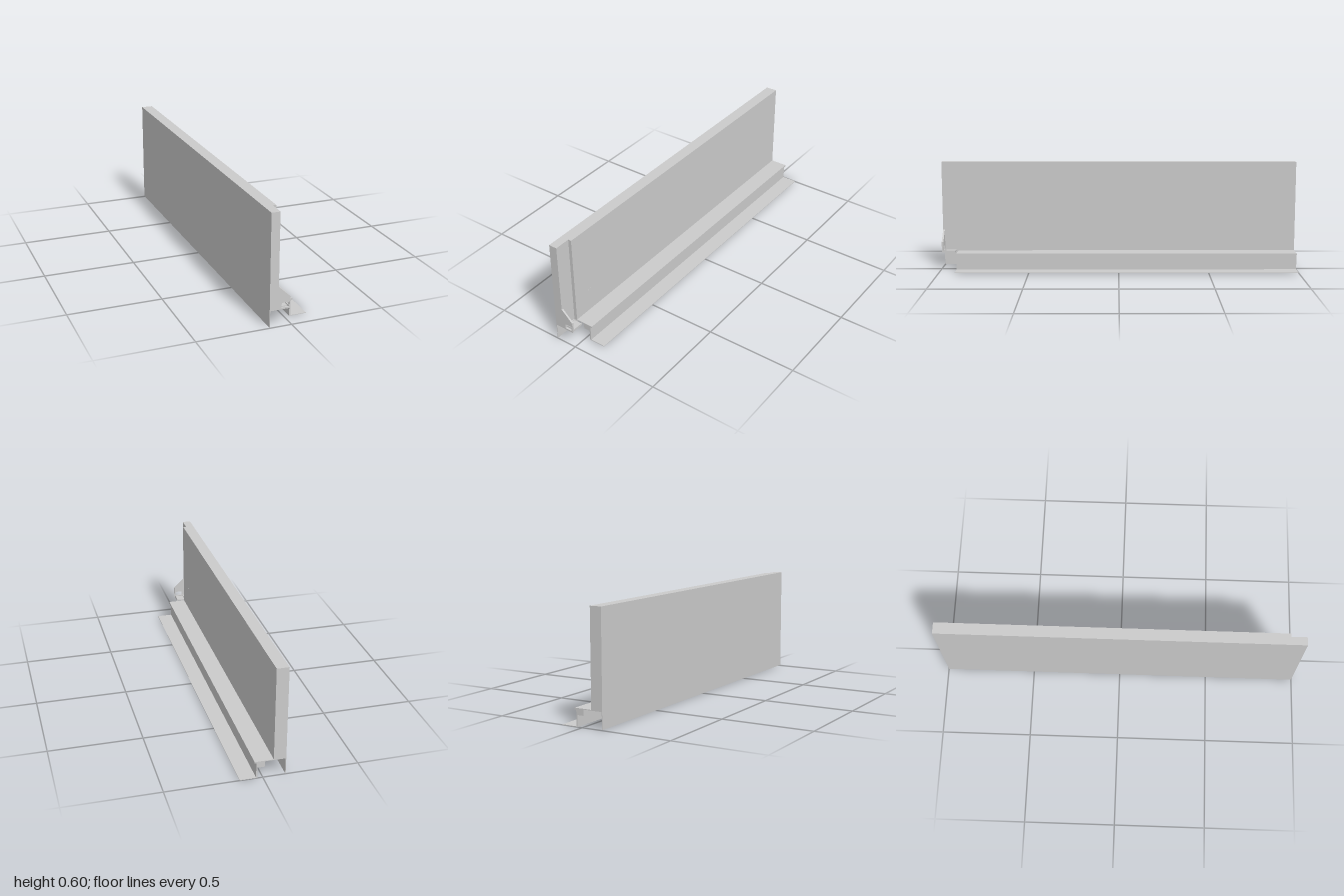
import * as THREE from 'three';

const material = new THREE.MeshStandardMaterial({ color: 0xcccccc, flatShading: true });

function add(group, name, geometry) {
  const mesh = new THREE.Mesh(geometry, material);
  mesh.name = name;
  group.add(mesh);
  return mesh;
}

// Extrude an x-y profile between two z positions, with an optional hole.
function bar(group, name, points, z0, z1, hole) {
  const toVectors = (list) => list.map(([x, y]) => new THREE.Vector2(x, y));
  const shape = new THREE.Shape(toVectors(points));
  if (hole) shape.holes.push(new THREE.Path(toVectors(hole)));
  const geometry = new THREE.ExtrudeGeometry(shape, { depth: z1 - z0, bevelEnabled: false });
  geometry.translate(0, 0, z0);
  return add(group, name, geometry);
}

const rect = (x0, y0, x1, y1) => [[x0, y0], [x1, y0], [x1, y1], [x0, y1]];

export function createModel() {
  const group = new THREE.Group();
  const step = 0.912; // where the thick panel and base rail stop

  // Upright panel with a thinner tongue at the front end
  bar(group, 'panel', rect(-0.119, 0.091, -0.055, 0.6), -1, step);
  bar(group, 'panelTongue', rect(-0.119, 0.091, -0.073, 0.6), step, 1);

  // Thin skirt hanging below the outer face
  bar(group, 'skirt', rect(-0.119, 0.003, -0.116, 0.091), -1, 1);

  // Base rail: ledge, lip, block, web and foot flange in one profile
  bar(group, 'baseRail', [
    [-0.055, 0.091], [-0.009, 0.091], [-0.009, 0.06], [0.027, 0.06],
    [0.027, 0], [0.119, 0], [0.119, 0.003], [0.034, 0.003],
    [0.034, 0.086], [0.043, 0.086], [0.043, 0.095], [-0.055, 0.095],
  ], -1, step);

  // Sloped bracket plate with a square opening
  bar(group, 'bracketPlate', [
    [-0.073, 0.091], [-0.009, 0.091], [-0.009, 0.152], [-0.073, 0.213],
  ], 0.99, 1, rect(-0.056, 0.099, -0.016, 0.125));

  // Small tray behind the bracket plate
  bar(group, 'trayFloor', rect(-0.066, 0.091, -0.012, 0.098), 0.925, 0.98);
  for (const x of [-0.066, -0.016]) {
    bar(group, 'trayRib', rect(x, 0.091, x + 0.005, 0.103), 0.925, 0.99);
  }

  // Small plug in the inner panel face
  const plug = add(group, 'plug', new THREE.CylinderGeometry(0.016, 0.016, 0.002, 24));
  plug.rotation.z = Math.PI / 2;
  plug.position.set(-0.055, 0.215, 0.8);

  return group;
}
